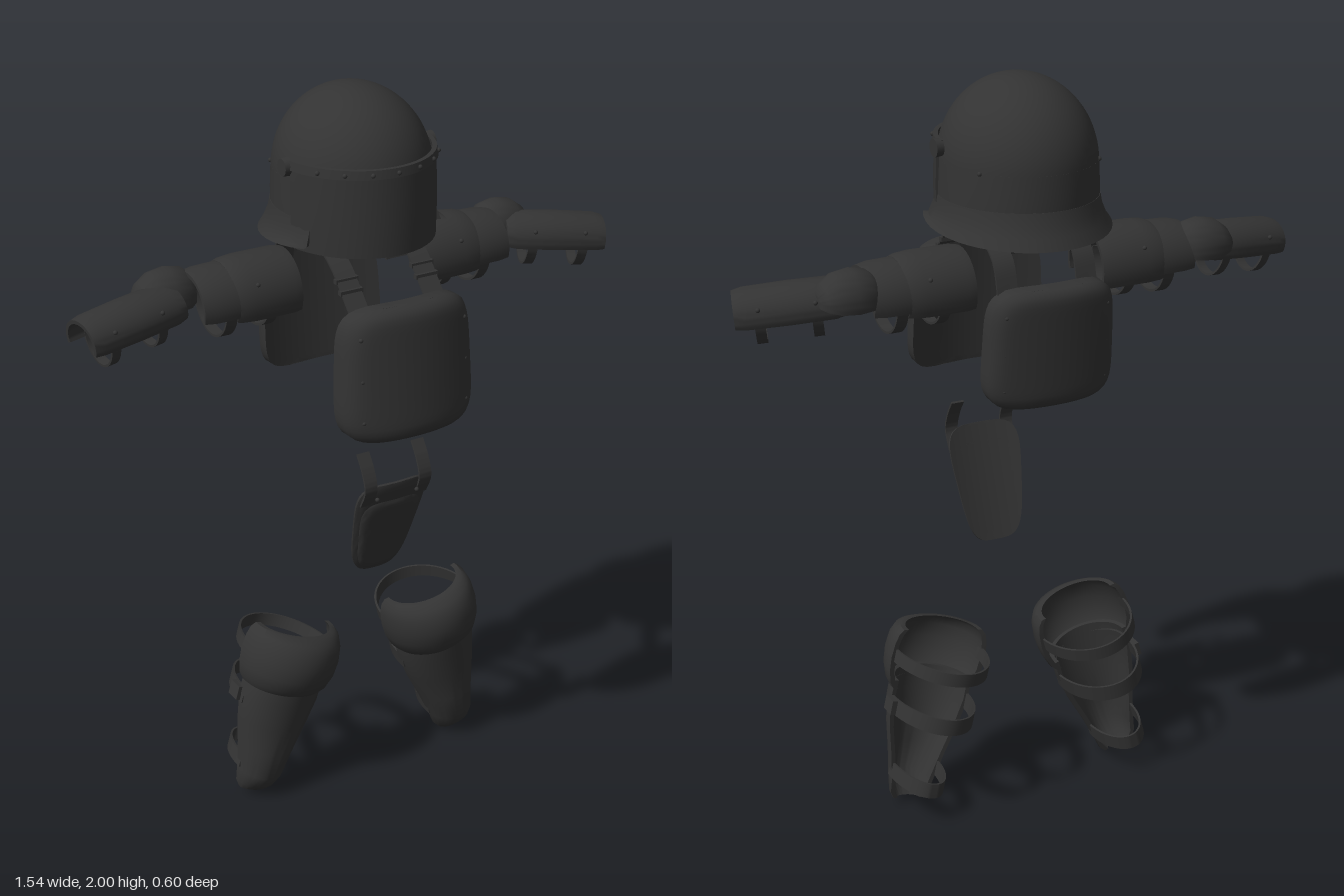
import * as THREE from 'three';
import { toCreasedNormals } from 'three/addons/utils/BufferGeometryUtils.js';

const charcoal = new THREE.MeshStandardMaterial({ color: 0x333333, side: THREE.DoubleSide });
charcoal.name = 'charcoal';

function part(name, geometry, parent) {
  const mesh = new THREE.Mesh(geometry, charcoal);
  mesh.name = name;
  parent.add(mesh);
  return mesh;
}

// Closed slab between two grids of points: outer(i, j) and inner(i, j)
function slab(rows, cols, outer, inner) {
  const pos = [], idx = [], L = 2 * (cols + 1);
  for (let i = 0; i <= rows; i++) {
    for (let j = 0; j <= cols; j++) pos.push(...outer(i, j));
    for (let j = cols; j >= 0; j--) pos.push(...inner(i, j));
  }
  for (let i = 0; i < rows; i++) for (let j = 0; j < L; j++) {
    const a = i * L + j, b = i * L + (j + 1) % L;
    idx.push(a, b, b + L, a, b + L, a + L);
  }
  const top = rows * L;
  for (let j = 0; j < cols; j++) {
    const k = L - 1 - j;
    idx.push(j, k, k - 1, j, k - 1, j + 1);
    idx.push(top + j, top + k - 1, top + k, top + j, top + j + 1, top + k - 1);
  }
  const g = new THREE.BufferGeometry();
  g.setAttribute('position', new THREE.Float32BufferAttribute(pos, 3));
  g.setIndex(idx);
  return toCreasedNormals(g, 0.75);
}

// Curved shell around local y, facing +z; rows are [y, halfWidth, depth]
function shell(rows, degrees, thick = 0.01, lift = 0, cols = 28) {
  const half = THREE.MathUtils.degToRad(degrees);
  const at = (inset) => (i, j) => {
    const a = half * (2 * j / cols - 1), [y, w, d] = rows[i];
    const raise = i === 0 ? lift * (a / half) ** 2 : 0;
    return [(w - inset) * Math.sin(a), y + raise, (d - inset) * Math.cos(a)];
  };
  return slab(rows.length - 1, cols, at(0), at(thick));
}

// Curved padded plate with a superellipse outline and soft edges
function plate({ w, h, thick, bend, bevel, taper = 0, n = 5 }) {
  const rows = 22, cols = 20;
  const at = (isFront) => (i, j) => {
    const t = 0.9995 * Math.sin(Math.PI * (i / rows - 0.5));
    const s = Math.sin(Math.PI * (j / cols - 0.5));
    const u = s * (1 - Math.abs(t) ** n) ** (1 / n);
    const x = u * w * (1 + taper * t);
    const q = Math.min(1, Math.abs(u) ** n + Math.abs(t) ** n);
    const curve = -bend * (x / w) ** 2;
    return [x, t * h, curve + (isFront ? thick - bevel * q ** 3 : 0)];
  };
  return slab(rows, cols, at(true), at(false));
}

// Flat strap along a path of [y, z] points
function ribbon(points, width, thick = 0.006) {
  const curve = new THREE.CatmullRomCurve3(points.map(([y, z]) => new THREE.Vector3(0, y, z)));
  const n = 24;
  const at = (k) => (i, j) => {
    const p = curve.getPoint(i / n), t = curve.getTangent(i / n);
    return [(j - 0.5) * width, p.y - t.z * k, p.z + t.y * k];
  };
  return slab(n, 1, at(thick / 2), at(-thick / 2));
}

function rivet(parent, x, y, z, r = 0.006) {
  part('rivet', new THREE.SphereGeometry(r, 10, 8), parent).position.set(x, y, z);
}

function strap(name, parent, y, w, d, height, degrees = 95) {
  const band = part(name, shell([[y - height / 2, w, d], [y + height / 2, w, d]], degrees, 0.006), parent);
  band.rotation.y = Math.PI;
  return band;
}

function makeHelmet() {
  const g = new THREE.Group();
  g.name = 'helmet';
  g.position.z = -0.042;
  const profile = [];
  for (let i = 0; i <= 20; i++) {
    const a = (i / 20) * Math.PI / 2;
    profile.push(new THREE.Vector2(0.2 * Math.cos(a), 1.78 + 0.22 * Math.sin(a)));
  }
  part('helmetDome', new THREE.LatheGeometry(profile, 48), g).scale.z = 1.1;
  const wall = part('helmetBack', shell([[1.685, 0.204, 0.222], [1.73, 0.203, 0.222], [1.79, 0.2, 0.22]], 115), g);
  const guard = part('neckGuard', shell([[1.61, 0.236, 0.258], [1.64, 0.222, 0.243],
    [1.67, 0.21, 0.23], [1.7, 0.205, 0.223]], 118, 0.01, 0.03), g);
  wall.rotation.y = guard.rotation.y = Math.PI;
  part('visor', shell([[1.62, 0.206, 0.232], [1.72, 0.209, 0.231], [1.84, 0.206, 0.224]], 78, 0.008), g);
  part('visorBand', shell([[1.822, 0.212, 0.23], [1.845, 0.208, 0.226]], 85, 0.012), g);
  for (const s of [-1, 1]) {
    const hinge = part('visorHinge', new THREE.CylinderGeometry(0.022, 0.024, 0.02, 20), g);
    hinge.rotation.z = Math.PI / 2;
    hinge.position.set(s * 0.207, 1.825, 0.03);
    rivet(g, s * 0.165, 1.79, -0.125);
  }
  for (let i = -3; i <= 3; i++) {
    const a = i * 0.32;
    rivet(g, 0.212 * Math.sin(a), 1.833, 0.229 * Math.cos(a));
  }
  return g;
}

function makeTorso() {
  const g = new THREE.Group();
  g.name = 'torsoArmour';
  const chest = part('chestPlate', plate({ w: 0.188, h: 0.178, thick: 0.068, bend: 0.042, bevel: 0.03, taper: -0.04 }), g);
  chest.position.set(0.005, 1.333, 0.222);
  chest.rotation.x = -0.07;
  const back = part('backPlate', plate({ w: 0.175, h: 0.16, thick: 0.06, bend: 0.03, bevel: 0.025, taper: -0.03 }), g);
  back.position.set(0, 1.35, -0.226);
  back.rotation.set(-0.07, Math.PI, 0);
  for (const s of [-1, 1]) {
    for (const y of [-0.11, 0, 0.11]) {
      rivet(chest, s * 0.15, y, 0.036);
      rivet(back, s * 0.14, y * 0.9, 0.034);
    }
    // Shoulder strap and buckle
    const x = s * 0.11 + 0.006;
    part('shoulderStrap', ribbon([[1.45, 0.2], [1.515, 0.14], [1.575, 0.08], [1.62, -0.01],
      [1.615, -0.12], [1.57, -0.195], [1.48, -0.225]], 0.056), g).position.x = x;
    for (const y of [1.525, 1.548]) {
      const buckle = part('buckle', new THREE.BoxGeometry(0.064, 0.012, 0.014), g);
      buckle.position.set(x, y, 1.655 - y);
    }
  }
  return g;
}

function makeGroinGuard() {
  const g = new THREE.Group();
  g.name = 'groinGuard';
  g.position.set(0.005, 0.836, 0.125);
  g.rotation.x = 0.35;
  part('groinPlate', plate({ w: 0.096, h: 0.163, thick: 0.012, bend: 0.012, bevel: 0.006, taper: 0.2, n: 4 }), g);
  part('groinPanel', plate({ w: 0.083, h: 0.133, thick: 0.018, bend: 0.009, bevel: 0.01, taper: 0.2, n: 4 }), g).position.y = -0.022;
  for (const s of [-1, 1]) {
    const hanger = part('groinStrap', ribbon([[0.1, 0.002], [0.16, 0.006], [0.2, -0.025], [0.23, -0.065]], 0.036), g);
    hanger.position.x = s * 0.082;
    rivet(g, s * 0.06, 0.125, 0.014);
  }
  return g;
}

// Arm armour in a frame whose y runs outward and whose z points up
function makeArm(side, yaw) {
  const arm = new THREE.Group();
  arm.name = side > 0 ? 'leftArm' : 'rightArm';
  const basis = new THREE.Matrix4().makeBasis(
    new THREE.Vector3(0, 0, side), new THREE.Vector3(side, 0, 0), new THREE.Vector3(0, 1, 0));
  arm.quaternion.setFromRotationMatrix(basis);
  arm.position.set(0, 1.487, -0.08);

  part('shoulderPad', shell([[0.178, 0.1, 0.1], [0.2, 0.105, 0.104], [0.31, 0.105, 0.104],
    [0.345, 0.102, 0.1], [0.36, 0.098, 0.094]], 112), arm);
  part('upperArmPad', shell([[0.28, 0.094, 0.09], [0.36, 0.1, 0.093], [0.42, 0.099, 0.091],
    [0.45, 0.094, 0.084]], 105), arm);
  strap('upperArmStrap', arm, 0.375, 0.094, 0.096, 0.03, 100);
  strap('shoulderStrapRing', arm, 0.26, 0.098, 0.088, 0.028, 100);

  const elbow = part('elbowCap', shell([[0.43, 0.045, 0.052], [0.45, 0.062, 0.068], [0.49, 0.068, 0.076],
    [0.535, 0.064, 0.068], [0.565, 0.05, 0.046], [0.58, 0.03, 0.025]], 108), arm);
  elbow.position.set(-side * 0.036, 0, 0.02);

  // Forearm swings forward and slightly down
  const fore = new THREE.Group();
  fore.name = 'forearm';
  fore.position.set(-side * 0.005, 0.49, 0.008);
  fore.rotation.set(-0.1, 0, -side * yaw);
  arm.add(fore);
  part('forearmGuard', shell([[0, 0.064, 0.052], [0.03, 0.072, 0.062], [0.14, 0.073, 0.064],
    [0.25, 0.07, 0.062], [0.275, 0.066, 0.056]], 112), fore);
  for (const y of [0.075, 0.215]) {
    strap('forearmStrap', fore, y, 0.064, 0.084, 0.026, 95);
    for (const s of [-1, 1]) rivet(fore, s * 0.067, y, 0.025);
  }
  for (const s of [-1, 1]) rivet(arm, s * 0.09, 0.3, 0.053);
  return arm;
}

function makeLeg(side, x, tilt) {
  const leg = new THREE.Group();
  leg.name = side > 0 ? 'leftLeg' : 'rightLeg';
  leg.position.set(x, 0.013, -0.043);
  leg.rotation.z = side * tilt;
  part('shinGuard', shell([[0, 0.045, 0.028], [0.02, 0.058, 0.05], [0.06, 0.064, 0.078], [0.14, 0.082, 0.084],
    [0.22, 0.103, 0.09], [0.3, 0.117, 0.102], [0.36, 0.116, 0.108]], 95, 0.012), leg);
  part('kneeGuard', shell([[0.335, 0.115, 0.108], [0.355, 0.129, 0.128], [0.39, 0.139, 0.143],
    [0.43, 0.142, 0.148], [0.47, 0.138, 0.142], [0.495, 0.13, 0.126], [0.508, 0.118, 0.1]], 95, 0.014), leg);
  // Straps closing behind the leg
  strap('kneeStrap', leg, 0.435, 0.132, 0.175, 0.036);
  strap('calfStrap', leg, 0.295, 0.116, 0.17, 0.045);
  strap('ankleStrap', leg, 0.09, 0.07, 0.137, 0.042);
  const clasp = part('strapClasp', new THREE.BoxGeometry(0.018, 0.04, 0.045), leg);
  clasp.position.set(side * 0.118, 0.295, -0.02);
  return leg;
}

export function createModel() {
  const model = new THREE.Group();
  model.name = 'protectiveArmourSet';
  model.add(makeHelmet(), makeTorso(), makeGroinGuard(),
    makeArm(1, 0.33), makeArm(-1, 0.16),
    makeLeg(1, 0.335, 0.22), makeLeg(-1, -0.325, 0.28));
  return model;
}
